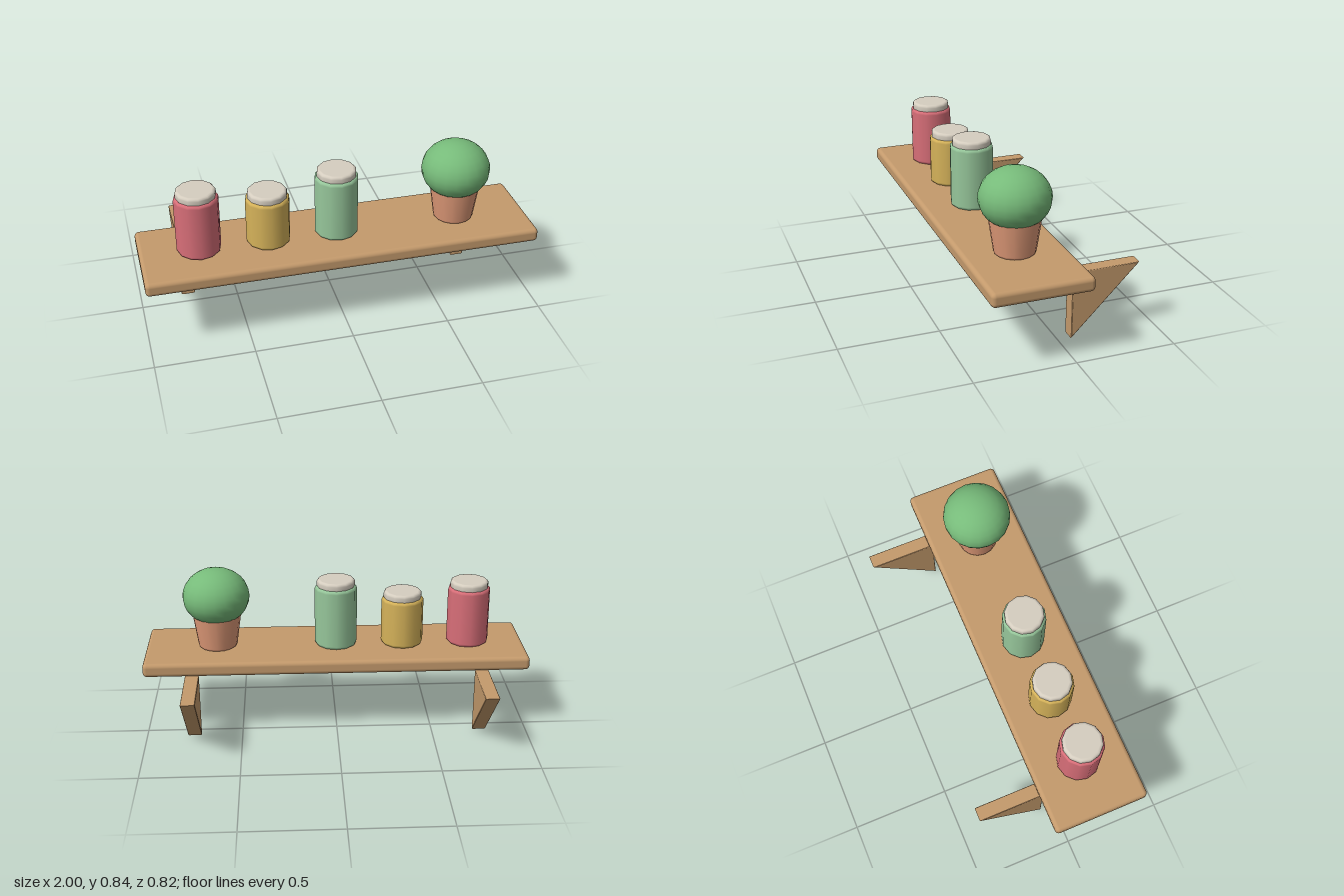
import * as THREE from 'three';
import { RoundedBoxGeometry } from 'three/addons/geometries/RoundedBoxGeometry.js';

const mat = (name, color) => new THREE.MeshStandardMaterial({ name, color });

// Solid of revolution with rounded rims: r0/r1 are the bottom and top radii
function roundedTurn(r0, r1, y0, y1, bevel, sides) {
  const pts = [[0, y0], [r0 - bevel - 0.002, y0]];
  const steps = 3;
  for (let i = 0; i <= steps; i++) {
    const a = (i / steps) * Math.PI / 2;
    pts.push([r0 - bevel + bevel * Math.sin(a), y0 + bevel - bevel * Math.cos(a)]);
  }
  for (let i = 0; i <= steps; i++) {
    const a = (i / steps) * Math.PI / 2;
    pts.push([r1 - bevel + bevel * Math.cos(a), y1 - bevel + bevel * Math.sin(a)]);
  }
  pts.push([r1 - bevel - 0.002, y1], [0, y1]);
  return new THREE.LatheGeometry(pts.map(([x, y]) => new THREE.Vector2(x, y)), sides);
}

export function createModel() {
  const group = new THREE.Group();
  const wood = mat('wood', 0xc49a6c);
  const lidMat = mat('lid cream', 0xd6cec0);
  const terracotta = mat('terracotta', 0xe09a78);
  const leaf = mat('leaf green', 0x77bb7a);

  const add = (parent, name, geometry, material, x = 0, y = 0, z = 0) => {
    const mesh = new THREE.Mesh(geometry, material);
    mesh.name = name;
    mesh.position.set(x, y, z);
    parent.add(mesh);
    return mesh;
  };

  // Board
  const top = 0.42;
  add(group, 'shelfBoard', new RoundedBoxGeometry(2, 0.073, 0.498, 3, 0.022), wood, 0, top - 0.0365, 0.161);

  // Triangular brackets, drawn in side profile and turned to face sideways
  const tri = new THREE.Shape([
    new THREE.Vector2(0.065, 0), new THREE.Vector2(0.41, 0.347), new THREE.Vector2(0.065, 0.347),
  ]);
  const bevel = 0.006, width = 0.072;
  const bracketGeo = new THREE.ExtrudeGeometry(tri, {
    depth: width - 2 * bevel, bevelEnabled: true, bevelThickness: bevel,
    bevelSize: bevel, bevelOffset: -bevel, bevelSegments: 2,
  });
  bracketGeo.translate(0, 0, -(width / 2 - bevel));
  bracketGeo.rotateY(Math.PI / 2);
  add(group, 'leftBracket', bracketGeo, wood, 0.75);
  add(group, 'rightBracket', bracketGeo, wood, -0.752);

  // Jars with lids
  const jars = [
    ['redJar', -0.703, 0.31, mat('jar red', 0xd96f79)],
    ['yellowJar', -0.353, 0.258, mat('jar yellow', 0xd6b35a)],
    ['greenJar', -0.002, 0.328, mat('jar green', 0x97c79b)],
  ];
  for (const [name, x, height, material] of jars) {
    const jar = new THREE.Group();
    jar.name = name;
    jar.position.set(x, top, 0.158);
    add(jar, 'jarBody', roundedTurn(0.111, 0.111, 0, height, 0.018, 12), material);
    add(jar, 'jarLid', roundedTurn(0.1, 0.1, height - 0.012, height + 0.034, 0.014, 12), lidMat);
    group.add(jar);
  }

  // Potted plant
  const plant = new THREE.Group();
  plant.name = 'pottedPlant';
  plant.position.set(0.622, top, 0.161);
  add(plant, 'pot', roundedTurn(0.103, 0.126, 0, 0.186, 0.014, 16), terracotta);
  const bush = add(plant, 'bush', new THREE.SphereGeometry(0.174, 20, 14), leaf, 0, 0.277, 0);
  bush.scale.y = 0.85;
  group.add(plant);

  return group;
}
